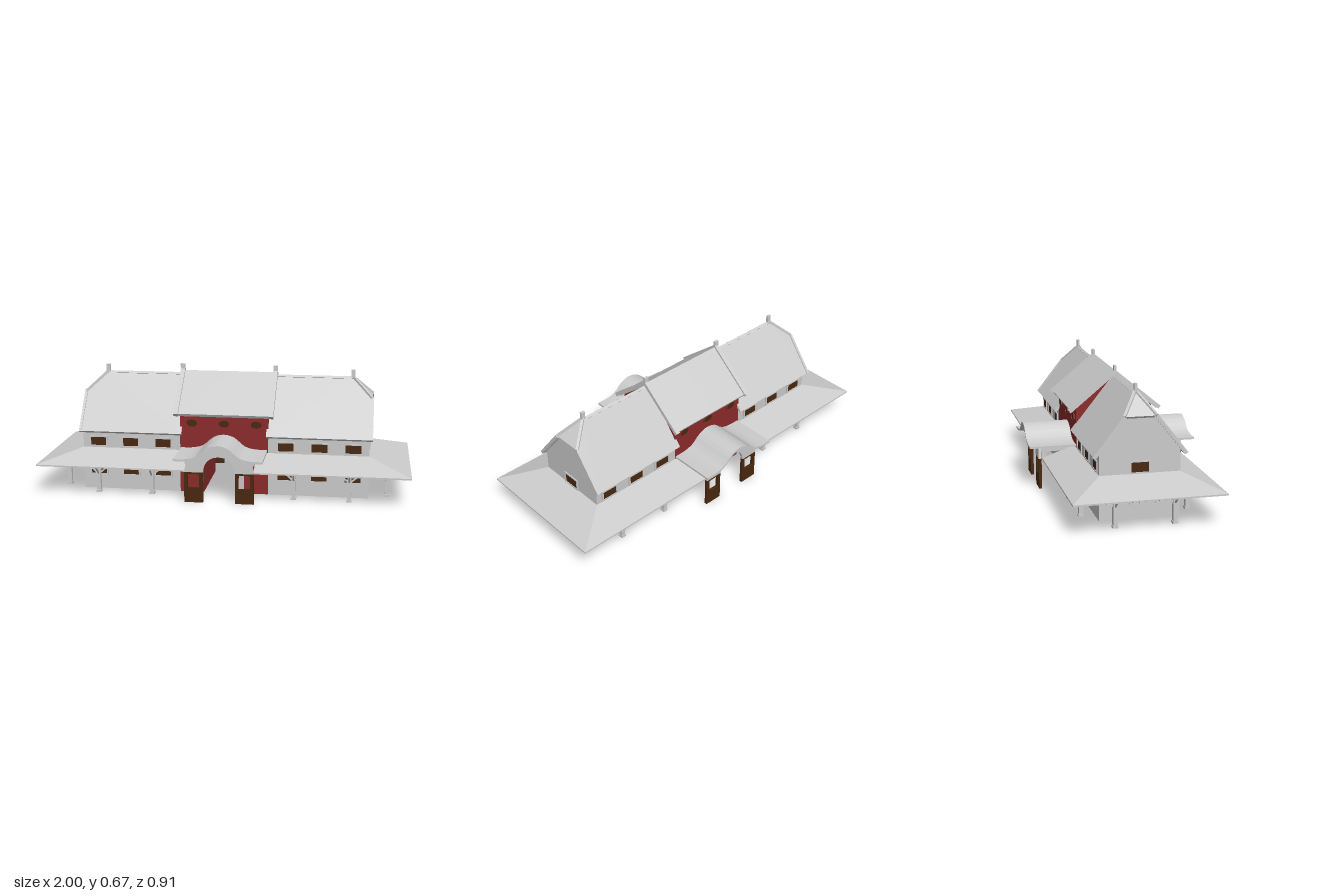
import * as THREE from 'three';
import { ConvexGeometry } from 'three/addons/geometries/ConvexGeometry.js';

const grey = new THREE.MeshStandardMaterial({ color: 0xcccccc, flatShading: true });
const red = new THREE.MeshStandardMaterial({ color: 0x8c2a2a, flatShading: true });
const brown = new THREE.MeshStandardMaterial({ color: 0x48280f, flatShading: true });
const V = (x, y, z) => new THREE.Vector3(x, y, z);

export function createModel() {
  const root = new THREE.Group();

  const add = (name, geo, mat = grey, parent = root) => {
    const m = new THREE.Mesh(geo, mat);
    m.name = name;
    parent.add(m);
    return m;
  };
  // Box given by its limits
  const box = (name, x0, x1, y0, y1, z0, z1, mat, parent) => {
    const g = new THREE.BoxGeometry(Math.abs(x1 - x0), y1 - y0, Math.abs(z1 - z0));
    g.translate((x0 + x1) / 2, (y0 + y1) / 2, (z0 + z1) / 2);
    return add(name, g, mat, parent);
  };
  // Convex solid around corner points
  const hull = (name, pts, mat, parent) => add(name, new ConvexGeometry(pts), mat, parent);
  // Flat panel thickened along an offset
  const slab = (name, pts, offset) => hull(name, [...pts, ...pts.map(p => p.clone().add(offset))]);
  // Straight timber between two points
  const bar = (name, a, b, w, h, parent) => {
    const m = add(name, new THREE.BoxGeometry(w, h, a.distanceTo(b)), grey, parent);
    m.position.copy(a).add(b).multiplyScalar(0.5);
    m.lookAt(b);
    return m;
  };
  // Upright outline extruded along z
  const plate = (name, shape, z0, depth, mat, parent) => {
    const g = new THREE.ExtrudeGeometry(shape, { depth, bevelEnabled: false, curveSegments: 8 });
    g.translate(0, 0, z0);
    return add(name, g, mat, parent);
  };
  const rect = (s, x0, x1, y0, y1) =>
    s.moveTo(x0, y0).lineTo(x1, y0).lineTo(x1, y1).lineTo(x0, y1).closePath();

  // Window facing +z of its own group, frame around a dark pane
  const windowUnit = (name, x, z, angle, offset, w, y0, y1) => {
    const g = new THREE.Group();
    g.name = name;
    const f = rect(new THREE.Shape(), -w / 2 - 0.01, w / 2 + 0.01, y0 - 0.008, y1 + 0.008);
    f.holes.push(rect(new THREE.Path(), -w / 2, w / 2, y0, y1));
    plate('windowFrame', f, 0, 0.006, grey, g);
    box('windowPane', -w / 2, w / 2, y0, y1, -0.004, 0.003, brown, g);
    g.position.set(x, 0, z);
    g.rotation.y = angle;
    root.add(g);
  };

  // Post with a wider foot and three braces; its outward side is +z of the group
  const post = (x, z, angle) => {
    const g = new THREE.Group();
    g.name = 'porchPost';
    box('postShaft', -0.011, 0.011, 0, 0.165, -0.011, 0.011, grey, g);
    box('postFoot', -0.014, 0.014, 0, 0.012, -0.014, 0.014, grey, g);
    for (const [dx, dz] of [[1, 0], [-1, 0], [0, 1]])
      bar('postBrace', V(dx * 0.008, 0.108, dz * 0.008), V(dx * 0.07, 0.162, dz * 0.07), 0.008, 0.008, g);
    g.position.set(x, 0, z);
    g.rotation.y = angle;
    root.add(g);
  };

  for (const s of [-1, 1]) {
    // Side wings with clipped gable ends
    const wing = [];
    for (const x of [0.235, 0.78])
      for (const z of [-1, 1])
        wing.push(V(s * x, 0, z * 0.205), V(s * x, 0.35, z * 0.205), V(s * x, 0.51, z * 0.08));
    hull('wingWalls', wing);

    for (const f of [-1, 1]) {
      // Steep wing roof, cut back at the end
      slab('wingRoof', [V(s * 0.23, 0.328, f * 0.235), V(s * 0.79, 0.328, f * 0.235),
        V(s * 0.79, 0.52, f * 0.083), V(s * 0.68, 0.625, 0), V(s * 0.23, 0.625, 0)],
        V(0, -0.01, f * -0.011));
      bar('wingBarge', V(s * 0.789, 0.324, f * 0.234), V(s * 0.789, 0.52, f * 0.081), 0.014, 0.016);
      bar('hipTrim', V(s * 0.789, 0.52, f * 0.081), V(s * 0.68, 0.624, 0), 0.014, 0.014);

      // Middle roof slopes and their raised edges
      slab('middleRoof', [V(0, 0.637, 0), V(s * 0.25, 0.637, 0),
        V(s * 0.25, 0.441, f * 0.24), V(0, 0.441, f * 0.24)], V(0, -0.014, f * -0.008));
      bar('middleBarge', V(s * 0.257, 0.435, f * 0.246), V(s * 0.257, 0.638, 0), 0.025, 0.02);

      // Long-side windows in two rows
      for (const x of [0.335, 0.515, 0.695]) {
        const a = f > 0 ? 0 : Math.PI;
        windowUnit('lowerWindow', s * x, f * 0.205, a, 0, 0.084, 0.085, 0.165);
        windowUnit('upperWindow', s * x, f * 0.205, a, 0, 0.084, 0.245, 0.29);
      }

      // Posts along the long sides and the ends
      for (const x of [0.385, 0.68]) post(s * x, f * 0.275, f > 0 ? 0 : Math.PI);
      post(s * 0.88, f * 0.15, s * Math.PI / 2);
    }

    // Clipped hip and ridge finials
    slab('hipRoof', [V(s * 0.79, 0.52, 0.083), V(s * 0.79, 0.52, -0.083), V(s * 0.68, 0.625, 0)],
      V(s * -0.008, -0.01, 0));
    box('wingFinial', s * 0.67, s * 0.692, 0.6, 0.662, -0.007, 0.007);
    box('middleFinial', s * 0.245, s * 0.27, 0.6, 0.673, -0.007, 0.007);

    // End windows
    for (const z of [-0.135, 0, 0.135])
      windowUnit('endWindow', s * 0.78, z, s * Math.PI / 2, 0, 0.088, 0.085, 0.165);
    windowUnit('upperEndWindow', s * 0.78, 0, s * Math.PI / 2, 0, 0.088, 0.24, 0.29);

    // Low porch roof round the wing, left open at the entrance
    const porch = [];
    for (const z of [-1, 1]) {
      for (const x of [0.18, 1])
        porch.push(V(s * x, 0.16, z * 0.38), V(s * x, 0.168, z * 0.38));
      porch.push(V(s * 0.18, 0.232, z * 0.205), V(s * 0.78, 0.232, z * 0.205));
    }
    hull('porchRoof', porch);

    // Red walls either side of the passage
    box('passageWall', s * 0.11, s * 0.24, 0, 0.255, -0.206, 0.206, red);
  }

  // Red middle block with its gable, above the passage
  const middle = [];
  for (const x of [-0.24, 0.24])
    for (const z of [-1, 1])
      middle.push(V(x, 0.25, z * 0.206), V(x, 0.457, z * 0.206), V(x, 0.624, 0));
  hull('middleBlock', middle, red);

  // Wavy top of the entrance canopy, from left to right
  const wave = new THREE.CatmullRomCurve3([
    [-0.235, 0.248], [-0.17, 0.25], [-0.115, 0.264], [-0.055, 0.312], [0, 0.326],
    [0.055, 0.312], [0.115, 0.264], [0.17, 0.25], [0.235, 0.248],
  ].map(([x, y]) => V(x, y, 0))).getPoints(24);

  for (const f of [-1, 1]) {
    const entry = new THREE.Group();
    entry.name = f > 0 ? 'frontEntrance' : 'backEntrance';
    entry.rotation.y = f > 0 ? 0 : Math.PI;
    root.add(entry);

    // Canopy sheet
    const sheet = new THREE.Shape([
      ...wave.map(p => new THREE.Vector2(p.x, p.y)),
      ...wave.map(p => new THREE.Vector2(p.x, p.y - 0.011)).reverse(),
    ]);
    plate('canopyRoof', sheet, 0.2, 0.255, grey, entry);

    // Arched board under the canopy
    const board = new THREE.Shape();
    board.moveTo(-0.185, 0.165).lineTo(-0.085, 0.165);
    board.bezierCurveTo(-0.08, 0.225, -0.045, 0.25, 0, 0.25);
    board.bezierCurveTo(0.045, 0.25, 0.08, 0.225, 0.085, 0.165);
    board.lineTo(0.185, 0.165);
    for (const p of [...wave].reverse())
      if (Math.abs(p.x) < 0.186) board.lineTo(p.x, p.y - 0.006);
    board.closePath();
    plate('archBoard', board, 0.384, 0.016, grey, entry);

    for (const s of [-1, 1]) {
      box('canopyBeam', s * 0.172, s * 0.185, 0.205, 0.245, 0.2, 0.386, grey, entry);
      // Brown gate panel with an open top
      const gate = rect(new THREE.Shape(), s * 0.135 - 0.05, s * 0.135 + 0.05, 0, 0.166);
      gate.holes.push(rect(new THREE.Path(), s * 0.135 - 0.031, s * 0.135 + 0.031, 0.08, 0.155));
      plate('entranceGate', gate, 0.384, 0.015, brown, entry);
    }

    // Oval windows
    for (const x of [-0.175, 0, 0.175]) {
      const oval = new THREE.Shape().absellipse(x, 0.385, 0.034, 0.025, 0, Math.PI * 2);
      oval.holes.push(new THREE.Path().absellipse(x, 0.385, 0.029, 0.02, 0, Math.PI * 2));
      plate('ovalFrame', oval, 0.204, 0.008, red, entry);
      const pane = new THREE.Shape().absellipse(x, 0.385, 0.03, 0.021, 0, Math.PI * 2);
      plate('ovalPane', pane, 0.202, 0.007, brown, entry);
    }
  }
  return root;
}
